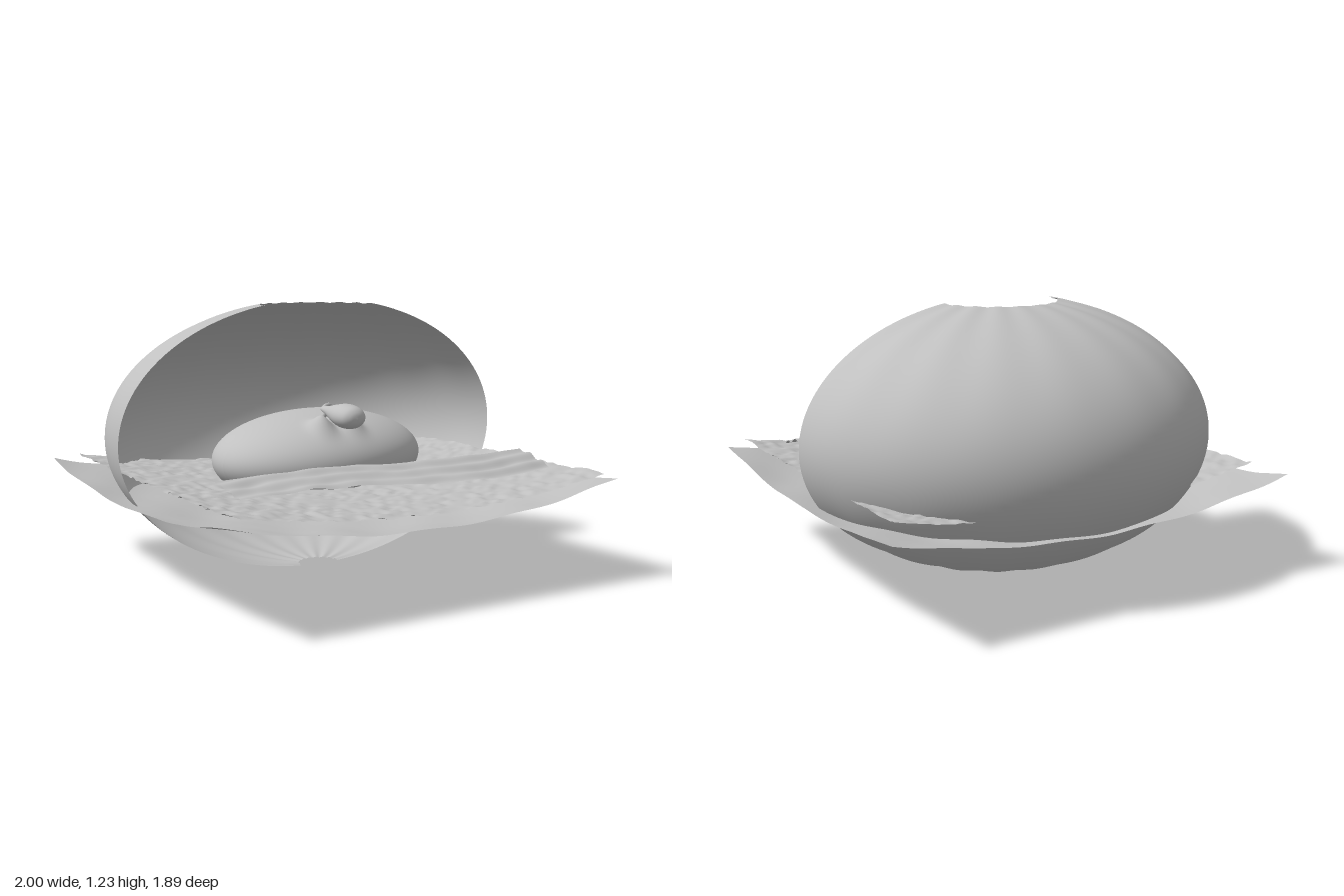
import * as THREE from 'three';

const grey = new THREE.MeshStandardMaterial({ color: 0xc0c0c0, side: THREE.DoubleSide });
grey.name = 'pearl grey';

// Smooth surface from a rule that maps u, v (0..1) to a point
function surface(rule, nu, nv) {
  const geo = new THREE.PlaneGeometry(1, 1, nu, nv);
  const pos = geo.attributes.position;
  for (let i = 0; i < pos.count; i++) {
    pos.setXYZ(i, ...rule(pos.getX(i) + 0.5, 0.5 - pos.getY(i)));
  }
  geo.computeVertexNormals();
  return geo;
}

function add(parent, name, geo) {
  const mesh = new THREE.Mesh(geo, grey);
  mesh.name = name;
  parent.add(mesh);
  return mesh;
}

// Soft value noise for woven and crumpled surfaces
function hash(i, j) {
  const s = Math.sin(i * 127.1 + j * 311.7) * 43758.5453;
  return s - Math.floor(s);
}
function noise(x, y) {
  const i = Math.floor(x), j = Math.floor(y);
  const f = (t) => t * t * (3 - 2 * t);
  const a = f(x - i), b = f(y - j);
  const low = THREE.MathUtils.lerp(hash(i, j), hash(i + 1, j), a);
  const high = THREE.MathUtils.lerp(hash(i, j + 1), hash(i + 1, j + 1), a);
  return THREE.MathUtils.lerp(low, high, b) - 0.5;
}

export function createModel() {
  const model = new THREE.Group();
  model.name = 'shellScene';

  // Open half shell, ribbed towards both poles, with a hole at each pole
  add(model, 'shell', surface((u, v) => {
    const phi = u * Math.PI;
    const theta = THREE.MathUtils.lerp(0.283, Math.PI - 0.1, v);
    const side = Math.abs(Math.cos(phi));
    const rib = 0.012 * Math.cos(phi * 18) * Math.cos(theta) ** 2 * (0.4 + 0.6 * side);
    const r = Math.sin(theta) * (1 + rib);
    return [
      -Math.cos(phi) * r,
      0.628 + 0.627 * Math.cos(theta) * (1 + rib * 0.4),
      -0.95 * Math.sin(phi) * r,
    ];
  }, 120, 60));

  // Large dished sheet with faint ripples
  add(model, 'lowerSheet', surface((u, v) => {
    const x = u * 2 - 1, z = THREE.MathUtils.lerp(-0.89, 0.94, v);
    const ripple = 0.004 * Math.sin(x * 14 + z * 9) + 0.006 * noise(x * 6, z * 6);
    return [x, 0.272 + 0.12 * x * x + 0.09 * z * z + ripple, z];
  }, 80, 80));

  // Smaller pebbled sheet lying over it
  add(model, 'upperSheet', surface((u, v) => {
    const x = THREE.MathUtils.lerp(-0.92, 0.915, u), z = THREE.MathUtils.lerp(-0.74, 0.94, v);
    const pebble = 0.014 * noise(x * 26 + 3, z * 30 + 7);
    return [x, 0.408 + 0.1 * x * x + 0.01 * z * z + pebble, z];
  }, 130, 120));

  // Wavy ribbon floating in front, tilted down to the front
  add(model, 'ribbon', surface((u, v) => {
    const x = (u * 2 - 1) * 0.788, across = (v - 0.5) * 0.23;
    const wave = Math.sin((x * Math.PI) / 0.788);
    const fold = 0.007 * Math.sin(v * 17 + x * 3) + 0.012 * noise(x * 9, v * 5);
    return [x, 0.535 - across * 0.2 - 0.008 * wave + fold, 0.628 + 0.032 * wave + across];
  }, 90, 24));

  // Large smooth pod, with two mounds raised under the bud
  const podGeo = new THREE.SphereGeometry(1, 128, 90);
  podGeo.scale(0.55, 0.22, 0.4);
  podGeo.rotateY(0.15);
  podGeo.translate(0.05, 0.51, -0.1);
  const pos = podGeo.attributes.position;
  for (let i = 0; i < pos.count; i++) {
    const x = pos.getX(i), y = pos.getY(i), z = pos.getZ(i);
    if (y < 0.51) continue;
    const lift = Math.exp(-(((Math.abs(x) - 0.075) / 0.045) ** 2) - ((z - 0.155) / 0.055) ** 2);
    pos.setY(i, y + 0.055 * lift);
  }
  podGeo.computeVertexNormals();
  add(model, 'pod', podGeo);

  // Teardrop bud pointing forward
  const profile = new THREE.SplineCurve([
    [0, 0], [0.014, 0.01], [0.032, 0.08], [0.055, 0.15], [0.071, 0.22],
    [0.062, 0.28], [0.035, 0.307], [0, 0.315],
  ].map(([r, l]) => new THREE.Vector2(r, l))).getPoints(32);
  profile.forEach((p) => { p.x = Math.max(p.x, 0); });
  const budGeo = new THREE.LatheGeometry(profile, 32);
  budGeo.rotateX(Math.PI / 2);
  budGeo.scale(1, 0.78, 1);
  const bud = add(model, 'bud', budGeo);
  bud.position.set(0, 0.748, 0.025);
  bud.rotation.x = 0.05;

  // Curved stalk behind the bud
  const stalk = new THREE.CatmullRomCurve3([
    new THREE.Vector3(0, 0.748, 0.04),
    new THREE.Vector3(0.025, 0.753, 0.01),
    new THREE.Vector3(0.065, 0.753, -0.03),
    new THREE.Vector3(0.105, 0.745, -0.08),
  ]);
  add(model, 'stalk', new THREE.TubeGeometry(stalk, 20, 0.011, 10));

  // Short struts joining the bud to the pod
  for (const side of [-1, 1]) {
    const strut = new THREE.LineCurve3(
      new THREE.Vector3(side * 0.03, 0.68, 0.06),
      new THREE.Vector3(side * 0.012, 0.74, 0.085),
    );
    add(model, side > 0 ? 'leftStrut' : 'rightStrut', new THREE.TubeGeometry(strut, 1, 0.011, 10));
  }

  return model;
}
